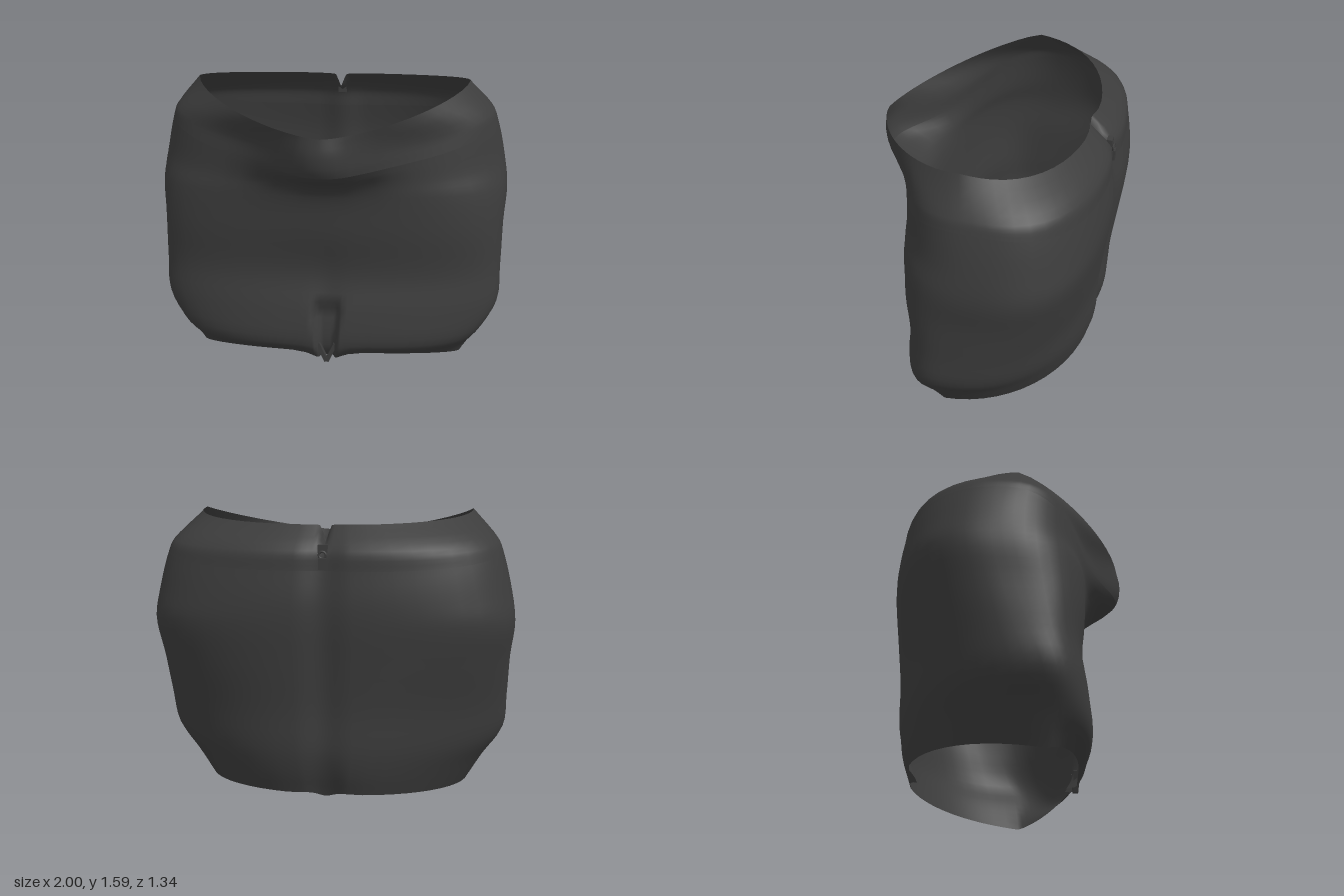
import * as THREE from 'three';

// Horizontal rings from waist to hem:
// [side y, front y, back y, half width, centre z, front z, back z,
//  front squareness, back squareness, belly bulge, sag of the ring from side to centre]
const rings = [
  [1.59, 1.41, 1.525, 0.76, -0.02, 0.655, -0.515, 1.45, 2.3, 0, 1.1],
  [1.43, 1.31, 1.40, 0.90, -0.07, 0.41, -0.635, 2.2, 2.8, 0.26, 2],
  [1.37, 1.20, 1.30, 0.925, -0.09, 0.41, -0.65, 2.3, 2.9, 0.23, 2],
  [1.20, 1.11, 1.15, 0.97, -0.12, 0.41, -0.67, 2.4, 2.9, 0.075, 1],
  [1.00, 1.03, 1.02, 1.00, -0.12, 0.40, -0.67, 2.7, 3, 0.025, 1],
  [0.80, 0.80, 0.80, 0.985, -0.07, 0.375, -0.65, 3.2, 2.7, 0.015, 1],
  [0.55, 0.55, 0.55, 0.98, 0.0, 0.35, -0.63, 3.1, 2.25, 0, 1],
  [0.34, 0.34, 0.34, 0.97, 0.07, 0.39, -0.63, 2.6, 2.05, 0, 1],
  [0.18, 0.14, 0.20, 0.87, 0.10, 0.405, -0.61, 2.6, 2.05, 0, 1],
  [0.00, 0.075, 0.085, 0.77, 0.11, 0.36, -0.575, 1.8, 2.1, 0, 1],
];
const STEPS = 4; // rows between neighbouring rings

// Angles round the body, denser at the front pleat and the back seam
function makeAngles() {
  const half = [0, 0.02, 0.04, 0.06, 0.075, 0.09, 0.12, 0.16];
  for (let i = 1; i <= 25; i++) half.push(0.16 + i * (Math.PI - 0.32) / 26);
  half.push(...[0.16, 0.12, 0.09, 0.06, 0.04, 0.02, 0].map(d => Math.PI - d));
  const mirrored = half.slice(1, -1).reverse().map(a => 2 * Math.PI - a);
  return [...half, ...mirrored];
}

const bump = (x, width) => Math.exp(-((x / width) ** 2));

function ringPoint([ySide, yFront, yBack, w, zc, zf, zb, pf, pb, belly, sag], a) {
  const s = Math.sin(a), c = Math.cos(a), front = c >= 0;
  const p = front ? pf : pb;
  const r = (Math.abs(s) ** p + Math.abs(c) ** p) ** (-1 / p);
  const t = Math.min(1, Math.abs(r * c));
  const x = w * r * s;
  return new THREE.Vector3(
    x,
    ySide + ((front ? yFront : yBack) - ySide) * t ** sag,
    zc + ((front ? zf : zb) - zc) * t + (front ? belly * bump(x, 0.3) : 0),
  );
}

// Column of points from waist to hem, with the centre pleat and seam pressed in
function makeColumn(a) {
  const curve = new THREE.CatmullRomCurve3(rings.map(r => ringPoint(r, a)));
  const count = (rings.length - 1) * STEPS;
  const points = curve.getPoints(count);
  points.forEach((p, j) => {
    const x = Math.abs(p.x), low = THREE.MathUtils.smoothstep(j, count - 8, count);
    if (Math.cos(a) > 0) {
      const edge = THREE.MathUtils.mapLinear(p.y, 0.08, 0.34, 0.045, 0.08);
      if (p.y < 0.345) p.z -= 0.06 * (1 - THREE.MathUtils.smoothstep(x, edge - 0.02, edge + 0.01));
      else if (p.y < 0.75) p.z -= 0.015 * bump(x, 0.08) * (0.75 - p.y) / 0.4;
      p.y -= 0.05 * low * bump(x, 0.1);
    } else {
      p.z += (0.03 + 0.03 * low) * bump(x, 0.1);
      if (j < 4) p.y -= 0.08 * (1 - j / 4) * bump(x, 0.018);
      p.y -= 0.03 * low * bump(x, 0.06);
    }
  });
  return points;
}

// Closed strip of cloth between two rows
function makeCloth(columns, from, to) {
  const positions = [], index = [], rows = to - from + 1, n = columns.length;
  columns.forEach(col => {
    for (let j = from; j <= to; j++) positions.push(col[j].x, col[j].y, col[j].z);
  });
  for (let i = 0; i < n; i++) {
    for (let j = 0; j < rows - 1; j++) {
      const a = i * rows + j, b = ((i + 1) % n) * rows + j;
      index.push(a, a + 1, b, b, a + 1, b + 1);
    }
  }
  const geometry = new THREE.BufferGeometry();
  geometry.setAttribute('position', new THREE.Float32BufferAttribute(positions, 3));
  geometry.setIndex(index);
  geometry.computeVertexNormals();
  return geometry;
}

export function createModel() {
  const model = new THREE.Group();
  model.name = 'shortSkirt';
  const cloth = new THREE.MeshStandardMaterial({ color: 0x3c3c3c, side: THREE.DoubleSide });
  cloth.name = 'charcoal cloth';
  const add = (name, geometry, parent = model) => {
    const mesh = new THREE.Mesh(geometry, cloth);
    mesh.name = name;
    parent.add(mesh);
    return mesh;
  };

  const columns = makeAngles().map(makeColumn);
  const bandEnd = 2 * STEPS;
  add('waistband', makeCloth(columns, 0, bandEnd));
  add('skirtBody', makeCloth(columns, bandEnd, (rings.length - 1) * STEPS));

  // Folded V at the bottom of the front pleat
  for (const side of [-1, 1]) {
    const fold = add('pleatFold', new THREE.BoxGeometry(0.022, 0.12, 0.03));
    fold.position.set(side * 0.026, 0.075, 0.36);
    fold.rotation.z = -side * 0.42;
  }

  // Zip slider and pull at the top of the back seam
  const zip = new THREE.Group();
  zip.name = 'zip';
  model.add(zip);
  const slider = add('zipSlider', new THREE.BoxGeometry(0.05, 0.04, 0.03), zip);
  slider.position.set(0, 1.41, -0.6);
  const ring = add('zipRing', new THREE.TorusGeometry(0.018, 0.006, 6, 12), zip);
  ring.position.set(0, 1.38, -0.622);
  const pull = add('zipPull', new THREE.BoxGeometry(0.04, 0.06, 0.012), zip);
  pull.position.set(0, 1.335, -0.628);

  return model;
}
